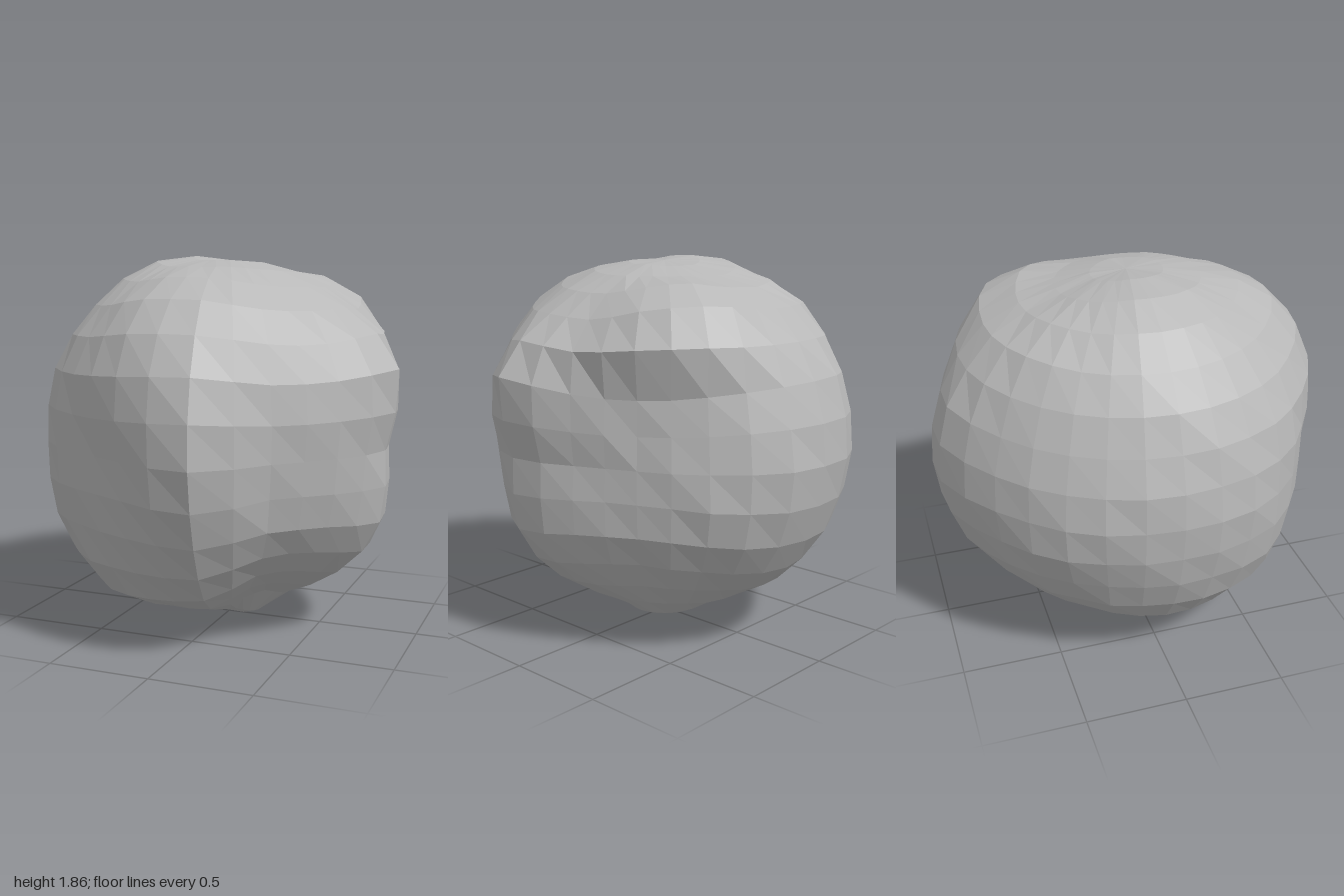
import * as THREE from 'three';

const COLS = 32, ROWS = 16, CENTRE = 0.95;

// Radii of the boulder: one row per polar angle (every 22.5 degrees from the top),
// one entry per azimuth (from 11.25 degrees, front towards +x, every 22.5 degrees).
const radii = [
  [.93, .92, .91, .90, .90, .90, .90, .90, .90, .92, .94, .96, .96, .95, .93, .93],
  [1.01, .95, .93, .94, .92, .99, 1.03, .99, .98, .98, .95, .95, .95, .95, .96, 1.01],
  [1.03, .92, .92, 1.01, .87, .82, .88, .97, 1.01, .95, .92, .92, .93, .95, .95, 1.0],
  [1.02, .85, .85, .88, .79, .78, .87, .98, 1.0, .94, .93, .92, .92, .93, .89, .92],
  [.98, .85, .86, .93, .86, .83, .90, .97, .97, .93, .92, .92, .93, .96, .93, .94],
  [.96, .83, .83, .90, .88, .86, .88, .92, .93, .92, .92, .95, .97, .97, 1.0, .98],
  [.90, .84, .82, .86, .88, .91, .91, .89, .87, .87, .87, .86, .86, .88, .90, .89],
];
const TOP = 0.89, BOTTOM = 0.95;

// Radii of the last ring, around the small knob underneath
const knob = [.90, .90, .92, .93, .93, .93, .93, .93, .92, .89, .86, .84, .83, .83, .83, .86];

const spline = (a, b, c, d, t) =>
  b + 0.5 * t * (c - a + t * (2 * a - 5 * b + 4 * c - d + t * (3 * (b - c) + d - a)));

// Radius interpolated around one ring of values
function around(ring, s) {
  const i = Math.floor(s), at = k => ring[(i + k + 32) % 16];
  return spline(at(-1), at(0), at(1), at(2), s - i);
}

function rowRadius(row, s) {
  if (row < 0) return TOP;
  if (row >= radii.length) return BOTTOM;
  return around(radii[row], s);
}

// Small repeatable roughness, the same for both sides of the seam
function rough(col, row) {
  const n = Math.sin(col * 127.1 + row * 311.7) * 43758.5453;
  return (n - Math.floor(n) - 0.5) * 0.012;
}

// Overhanging edge of the cap on the back left corner
const crest = (col, row) => row === 5 ? 0.07 * Math.exp(-(((col - 11) / 2.5) ** 2)) : 0;

function boulderRadius(col, row) {
  if (row === 0) return TOP;
  if (row === ROWS) return BOTTOM;
  const s = (col - 1) / 2, v = row / 2 - 1, j = Math.floor(v);
  if (row === ROWS - 1) return around(knob, s);
  const r = spline(rowRadius(j - 1, s), rowRadius(j, s), rowRadius(j + 1, s), rowRadius(j + 2, s), v - j);
  return r + crest(col, row) + rough(col, row) * Math.sin(Math.PI * row / ROWS);
}

export function createModel() {
  const group = new THREE.Group();
  group.name = 'boulder';
  const stone = new THREE.MeshStandardMaterial({ color: 0xb8b8b8 });
  stone.name = 'stone grey';

  // Sphere pushed in and out to the lumpy shape
  const sphere = new THREE.SphereGeometry(1, COLS, ROWS);
  const pos = sphere.attributes.position, p = new THREE.Vector3();
  for (let i = 0; i < pos.count; i++) {
    p.fromBufferAttribute(pos, i);
    const row = Math.round(Math.acos(THREE.MathUtils.clamp(p.y, -1, 1)) / Math.PI * ROWS);
    const col = (Math.round(Math.atan2(p.x, p.z) / (2 * Math.PI) * COLS) + COLS) % COLS;
    p.multiplyScalar(boulderRadius(col, row));
    // the lowest tip leans to one side
    if (row === ROWS) p.x += 0.08;
    pos.setXYZ(i, p.x, p.y + CENTRE, p.z);
  }

  // Separate faces give flat facets
  const rock = sphere.toNonIndexed();
  rock.computeVertexNormals();
  const mesh = new THREE.Mesh(rock, stone);
  mesh.name = 'rock';
  group.add(mesh);
  return group;
}
